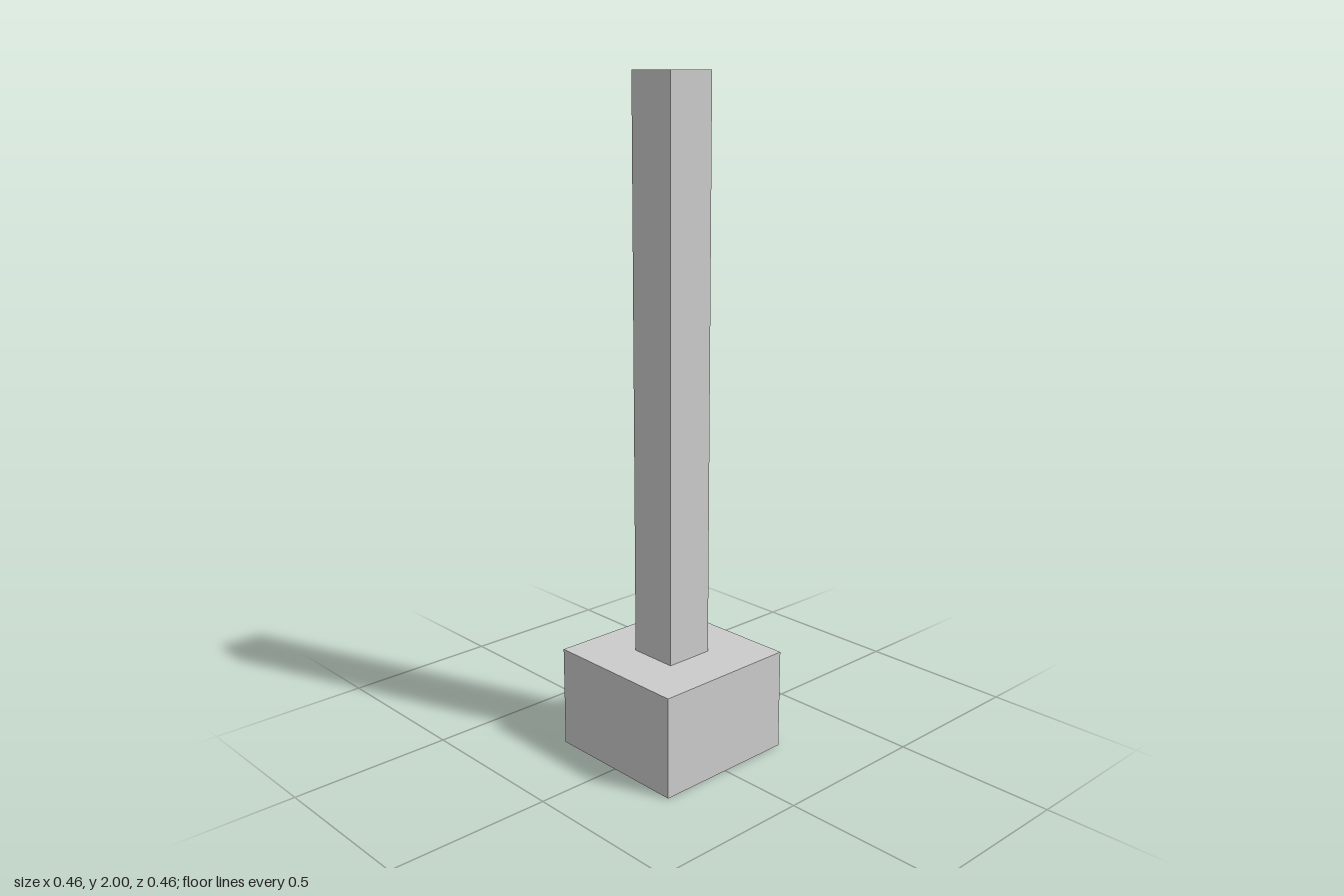
import * as THREE from 'three';

const BASE_WIDTH = 0.462;
const BASE_HEIGHT = 0.308;
const POST_WIDTH = 0.154;
const TOTAL_HEIGHT = 2;

// Square block standing on height y
function block(name, width, height, y, material) {
  const mesh = new THREE.Mesh(new THREE.BoxGeometry(width, height, width), material);
  mesh.name = name;
  mesh.position.y = y + height / 2;
  return mesh;
}

export function createModel() {
  const material = new THREE.MeshStandardMaterial({ color: 0xcccccc, flatShading: true });
  const model = new THREE.Group();
  model.name = 'postOnBase';

  // Heavy square base with a slim square post on its centre
  model.add(block('base', BASE_WIDTH, BASE_HEIGHT, 0, material));
  model.add(block('post', POST_WIDTH, TOTAL_HEIGHT - BASE_HEIGHT, BASE_HEIGHT, material));
  return model;
}
